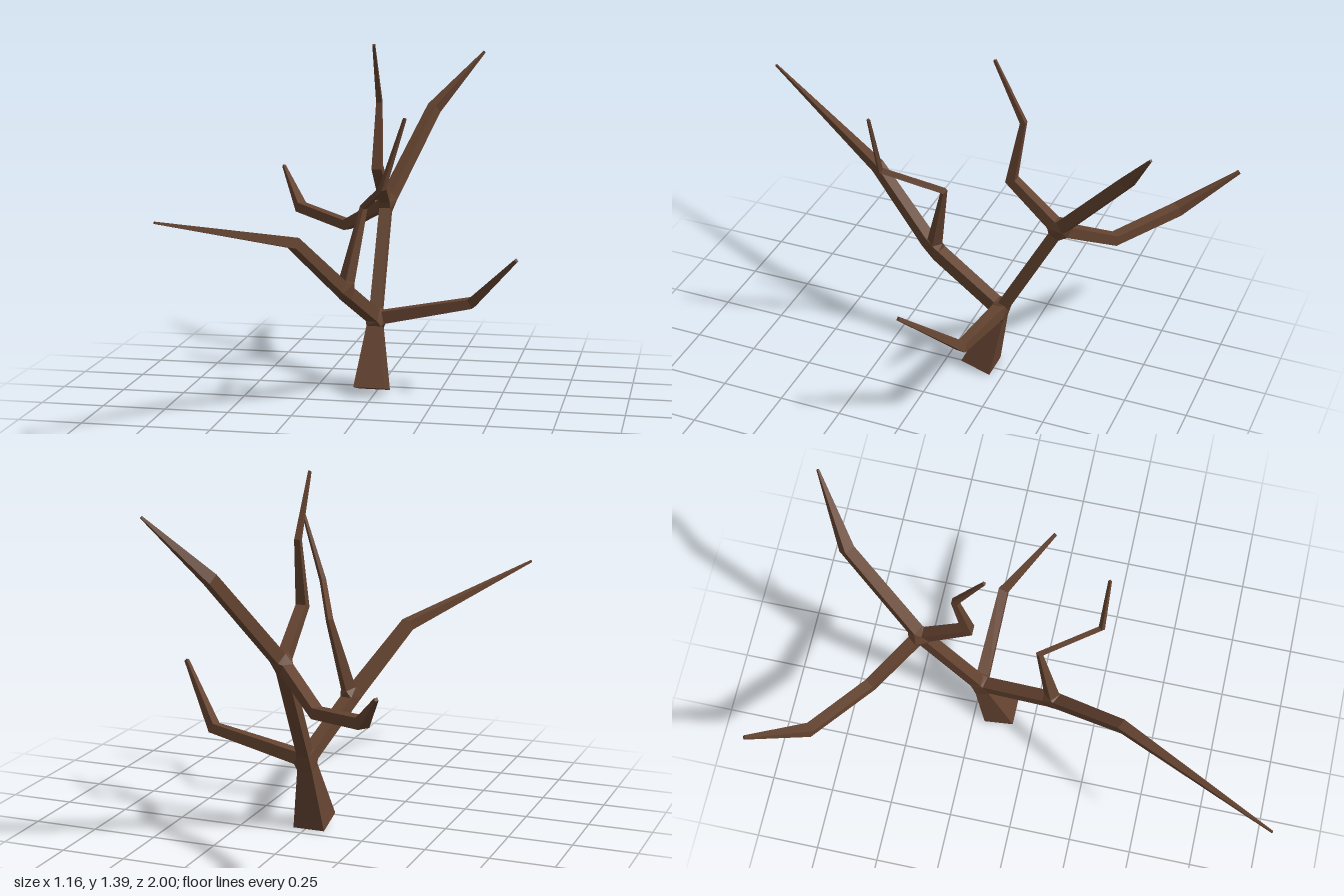
import * as THREE from 'three';
import { ConvexGeometry } from 'three/addons/geometries/ConvexGeometry.js';

const bark = new THREE.MeshStandardMaterial({ color: 0x644330, flatShading: true });
const UP = new THREE.Vector3(0, 1, 0);

// Square cross-sections along a path of [x, y, z, halfWidth]; ends may be trimmed back for a joint
function limbRings(path, trimStart, trimEnd) {
  const p = path.map(([x, y, z]) => new THREE.Vector3(x, y, z));
  const n = p.length;
  const dirs = p.slice(1).map((b, i) => b.clone().sub(p[i]).normalize());
  p[0].addScaledVector(dirs[0], trimStart);
  p[n - 1].addScaledVector(dirs[n - 2], -trimEnd);
  const side = dirs[0].clone().cross(UP).normalize();
  return p.map((c, i) => {
    const t = dirs[Math.max(i - 1, 0)].clone().add(dirs[Math.min(i, n - 2)]).normalize();
    side.addScaledVector(t, -side.dot(t)).normalize();
    const up = side.clone().cross(t);
    const r = path[i][3];
    return [[1, 1], [-1, 1], [-1, -1], [1, -1]].map(([a, b]) =>
      c.clone().addScaledVector(side, a * r).addScaledVector(up, b * r));
  });
}

// Skin the cross-sections with four flat sides and close both ends
function skin(rings) {
  const index = [0, 1, 2, 0, 2, 3];
  const e = (rings.length - 1) * 4;
  index.push(e, e + 2, e + 1, e, e + 3, e + 2);
  for (let i = 0; i < rings.length - 1; i++) {
    for (let k = 0; k < 4; k++) {
      const a = i * 4 + k, b = i * 4 + (k + 1) % 4;
      index.push(a, a + 4, b + 4, a, b + 4, b);
    }
  }
  const indexed = new THREE.BufferGeometry().setFromPoints(rings.flat());
  indexed.setIndex(index);
  const g = indexed.toNonIndexed();
  g.computeVertexNormals();
  return g;
}

export function createModel() {
  const tree = new THREE.Group();
  tree.name = 'bareTree';

  const add = (name, geometry) => {
    const mesh = new THREE.Mesh(geometry, bark);
    mesh.name = name;
    tree.add(mesh);
  };
  const limb = (name, path, trimStart = 0.035, trimEnd = 0) => {
    const rings = limbRings(path, trimStart, trimEnd);
    add(name, skin(rings));
    return { start: rings[0], end: rings[rings.length - 1] };
  };
  const joint = (name, ...rings) => add(name, new ConvexGeometry(rings.flat()));

  // Points where the limbs fork
  const crown = [-0.013, 0.29, -0.222];
  const frontFork = [-0.075, 0.46, 0.09];
  const backFork = [-0.013, 0.72, -0.45];

  // Trunk, leaning back
  const trunk = limb('trunk', [[-0.013, 0.02, -0.14, 0.063], [...crown, 0.03]], 0, 0.035);

  // Main limbs leaving the trunk
  const front = limb('frontLimb', [[...crown, 0.025], [...frontFork, 0.025]], 0.035, 0.03);
  const back = limb('backLimb', [[...crown, 0.024], [...backFork, 0.023]], 0.035, 0.03);
  const left = limb('leftBranch',
    [[...crown, 0.025], [0.375, 0.37, -0.212, 0.02], [0.57, 0.58, -0.04, 0.007]]);
  joint('crownJoint', trunk.end, front.start, back.start, left.start);

  // Branches of the front limb
  const longFront = limb('longFrontBranch',
    [[...frontFork, 0.024], [-0.205, 0.698, 0.385, 0.021], [-0.54, 0.865, 0.998, 0.004]]);
  const frontTwig = limb('frontTwig', [[...frontFork, 0.022], [-0.013, 0.778, 0.02, 0.011],
    [0.1, 0.885, 0.235, 0.01], [0.185, 1.15, 0.24, 0.005]], 0.04);
  joint('frontFork', front.end, longFront.start, frontTwig.start);

  // Branches of the back limb
  const tall = limb('tallBackBranch',
    [[...backFork, 0.024], [0.135, 1.08, -0.745, 0.022], [0.327, 1.308, -0.88, 0.004]]);
  const right = limb('rightBackBranch', [[...backFork, 0.022], [-0.21, 0.597, -0.61, 0.021],
    [-0.45, 0.635, -0.79, 0.021], [-0.573, 0.783, -0.993, 0.006]]);
  const upright = limb('uprightTwig', [[...backFork, 0.022], [-0.013, 0.895, -0.255, 0.02],
    [-0.013, 1.15, -0.297, 0.011], [-0.013, 1.385, -0.18, 0.005]]);
  joint('backFork', back.end, tall.start, right.start, upright.start);

  return tree;
}
